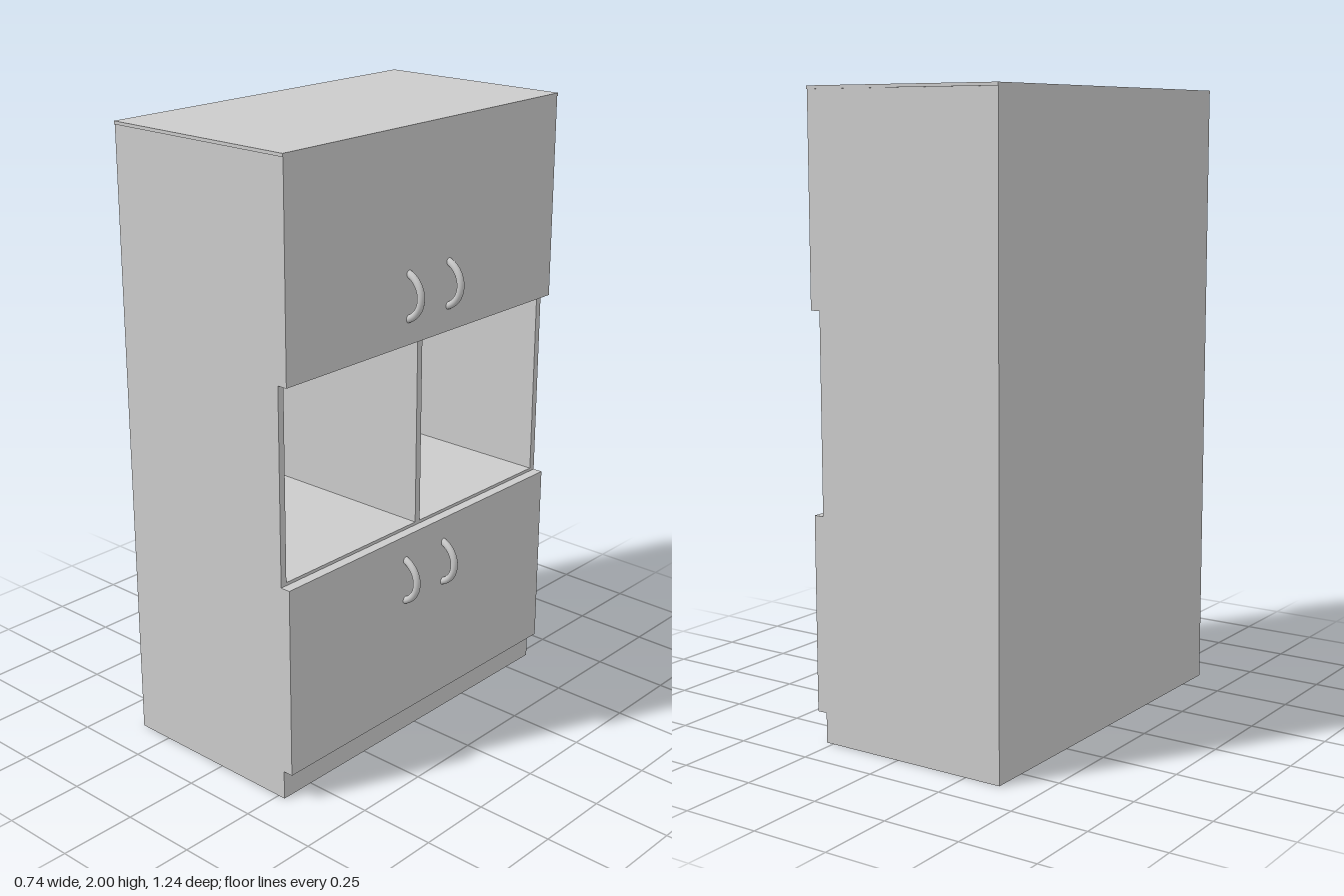
import * as THREE from 'three';

export function createModel() {
  const model = new THREE.Group();
  const material = new THREE.MeshStandardMaterial({ color: 0xcccccc });

  // Box given by its lower and upper limits on each axis
  const panel = (name, [x0, x1], [y0, y1], [z0, z1]) => {
    const mesh = new THREE.Mesh(new THREE.BoxGeometry(x1 - x0, y1 - y0, z1 - z0), material);
    mesh.name = name;
    mesh.position.set((x0 + x1) / 2, (y0 + y1) / 2, (z0 + z1) / 2);
    model.add(mesh);
  };

  const back = -0.37, carcassFront = 0.275, doorFront = 0.308;
  const halfWidth = 0.617, t = 0.022, topY = 1.99, plinthY = 0.095;
  const inner = halfWidth - t;
  const depth = [back + t, carcassFront];

  // Carcass
  panel('plinth', [back, carcassFront], [0, plinthY], [-halfWidth, halfWidth]);
  panel('backPanel', [back, back + t], [plinthY, topY], [-halfWidth, halfWidth]);
  panel('leftSide', depth, [plinthY, topY], [-halfWidth, -inner]);
  panel('rightSide', depth, [plinthY, topY], [inner, halfWidth]);
  panel('topBoard', [back, 0.309], [topY, 2], [-0.62, 0.62]);

  // Open middle compartment
  panel('nicheFloor', depth, [0.725 - t, 0.725], [-inner, inner]);
  panel('nicheCeiling', depth, [1.33, 1.33 + t], [-inner, inner]);
  panel('nicheDivider', depth, [0.725, 1.33], [-t / 2, t / 2]);

  // Curved pull: the part of a ring that stands out of the door
  const ringX = 0.279, ringR = 0.075, tubeR = 0.0115;
  const sweep = 2 * Math.acos((doorFront - 0.012 - ringX) / ringR);
  const handleGeometry = new THREE.TorusGeometry(ringR, tubeR, 16, 40, sweep).rotateZ(-sweep / 2);

  // Paired doors with handles, lower and upper
  const rows = [
    { label: 'lower', y: [plinthY, 0.715], handleY: 0.562 },
    { label: 'upper', y: [1.34, topY], handleY: 1.491 },
  ];
  for (const { label, y, handleY } of rows) {
    for (const side of [-1, 1]) {
      const sideName = side > 0 ? 'Right' : 'Left';
      panel(`${label}${sideName}Door`, [carcassFront, doorFront], y,
        side > 0 ? [0, halfWidth] : [-halfWidth, 0]);
      const handle = new THREE.Mesh(handleGeometry, material);
      handle.name = `${label}${sideName}Handle`;
      handle.position.set(ringX, handleY, side * 0.093);
      model.add(handle);
    }
  }
  return model;
}
